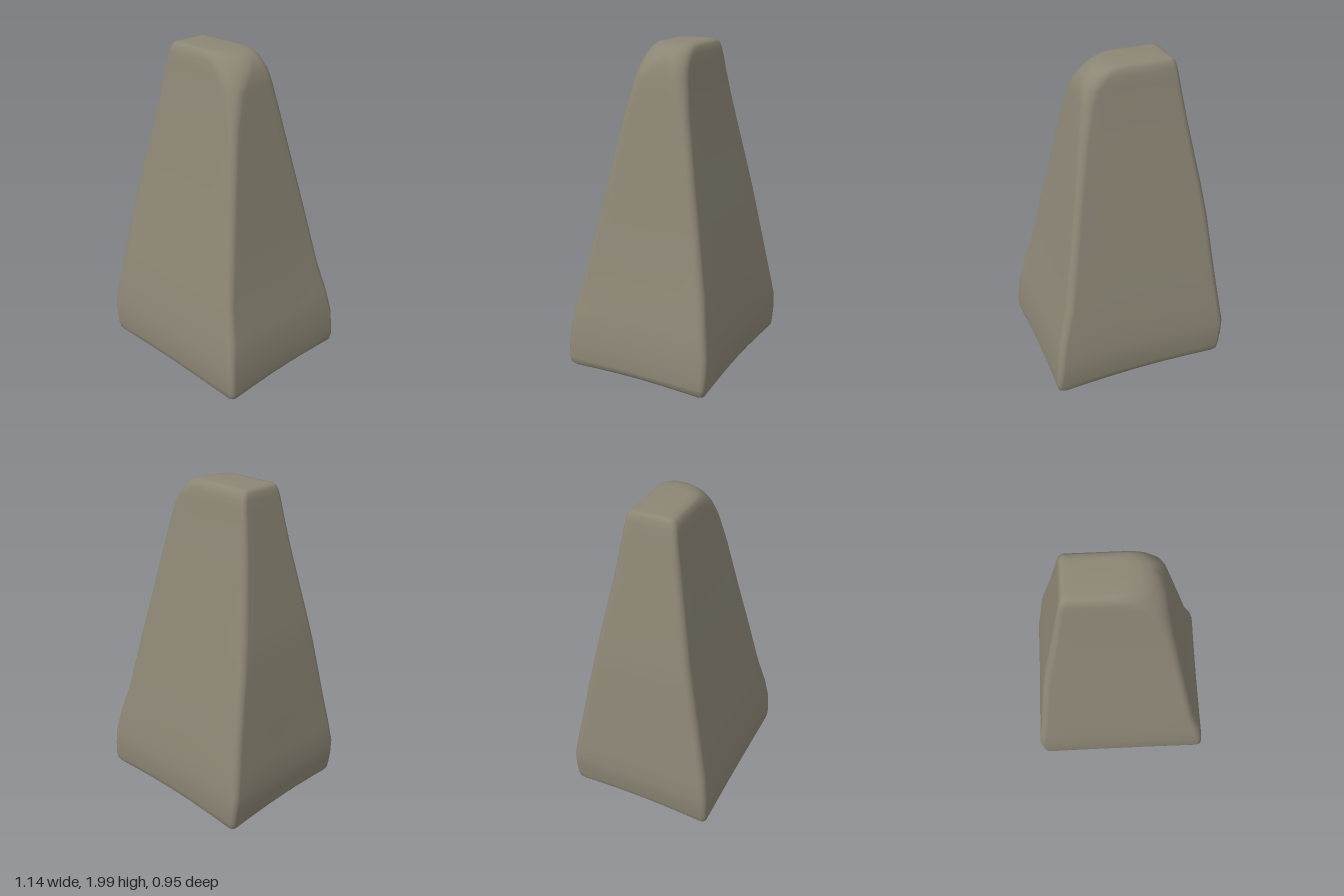
import * as THREE from 'three';

// Horizontal sections: y, left x, right x, back z, front z, corner radius,
// extra rounding of the front +x corner, extra rounding of the back +x corner
const SECTIONS = [
  [0.012, -0.50, 0.51, -0.42, 0.43, 0.03, 0, 0],
  [0.012, -0.535, 0.545, -0.452, 0.455, 0.03, 0, 0],
  [0.03, -0.548, 0.562, -0.465, 0.468, 0.03, 0, 0],
  [0.07, -0.555, 0.57, -0.47, 0.475, 0.03, 0, 0],
  [0.15, -0.565, 0.564, -0.474, 0.478, 0.035, 0, 0],
  [0.25, -0.573, 0.556, -0.472, 0.474, 0.04, 0, 0],
  [0.4, -0.555, 0.53, -0.447, 0.452, 0.045, 0, 0],
  [0.6, -0.53, 0.472, -0.41, 0.412, 0.045, 0, 0],
  [1.0, -0.487, 0.402, -0.333, 0.332, 0.045, 0, 0],
  [1.2, -0.457, 0.366, -0.293, 0.29, 0.045, 0, 0],
  [1.6, -0.382, 0.296, -0.215, 0.212, 0.04, 0.01, 0.01],
  [1.8, -0.347, 0.262, -0.18, 0.176, 0.035, 0.05, 0.03],
  [1.88, -0.333, 0.244, -0.168, 0.163, 0.03, 0.1, 0.05],
  [1.94, -0.322, 0.21, -0.158, 0.153, 0.03, 0.14, 0.07],
  [1.975, -0.313, 0.165, -0.147, 0.142, 0.03, 0.14, 0.07],
  [1.993, -0.3, 0.11, -0.13, 0.125, 0.025, 0.12, 0.06],
  [1.998, -0.27, 0.05, -0.1, 0.095, 0.02, 0.08, 0.04],
];
const ARC = 6, SIDE = 6;

// Rounded rectangle with slightly hollow sides
function ring([y, x0, x1, z0, z1, r, frontCut, backCut]) {
  const corners = [
    [x1, z1, r + frontCut], [x0, z1, r], [x0, z0, r], [x1, z0, r + backCut],
  ].map(([x, z, rad], c) => {
    const sx = Math.sign(x - (x0 + x1) / 2), sz = Math.sign(z);
    return Array.from({ length: ARC + 1 }, (_, k) => {
      const a = (c + k / ARC) * Math.PI / 2;
      return [x + rad * (Math.cos(a) - sx), z + rad * (Math.sin(a) - sz)];
    });
  });
  const points = [];
  const foot = Math.max(0, 1 - y / 0.6);
  corners.forEach((arc, c) => {
    arc.forEach(([x, z]) => points.push([x, y, z]));
    const a = arc[ARC], b = corners[(c + 1) % 4][0];
    const dent = [0, 0.006, 0.012, 0.006][c] * foot;
    for (let k = 1; k < SIDE; k++) {
      const t = k / SIDE, h = Math.sin(t * Math.PI), mid = (c + 1) * Math.PI / 2;
      points.push([
        a[0] + (b[0] - a[0]) * t - Math.cos(mid) * dent * h,
        y + (y < 0.05 ? 0.01 * h : 0),
        a[1] + (b[1] - a[1]) * t - Math.sin(mid) * dent * h,
      ]);
    }
  });
  return points;
}

function loft(sections) {
  const rings = sections.map(ring), n = rings[0].length;
  const positions = rings.flat(2), index = [];
  for (let i = 0; i < rings.length - 1; i++) {
    for (let j = 0; j < n; j++) {
      const a = i * n + j, b = i * n + (j + 1) % n;
      index.push(a, a + n, b, b, a + n, b + n);
    }
  }
  // Bottom and top caps
  const bottom = rings.length * n, top = bottom + 1, last = bottom - n;
  positions.push(0, 0.022, 0, -0.11, 2, 0);
  for (let j = 0; j < n; j++) {
    const k = (j + 1) % n;
    index.push(bottom, j, k, top, last + k, last + j);
  }
  const geometry = new THREE.BufferGeometry();
  geometry.setAttribute('position', new THREE.Float32BufferAttribute(positions, 3));
  geometry.setIndex(index);
  geometry.computeVertexNormals();
  return geometry;
}

export function createModel() {
  const group = new THREE.Group();
  group.name = 'standingStone';
  const stone = new THREE.MeshStandardMaterial({ color: 0x8c8675 });
  stone.name = 'stone';
  const block = new THREE.Mesh(loft(SECTIONS), stone);
  block.name = 'stoneBlock';
  group.add(block);
  return group;
}
